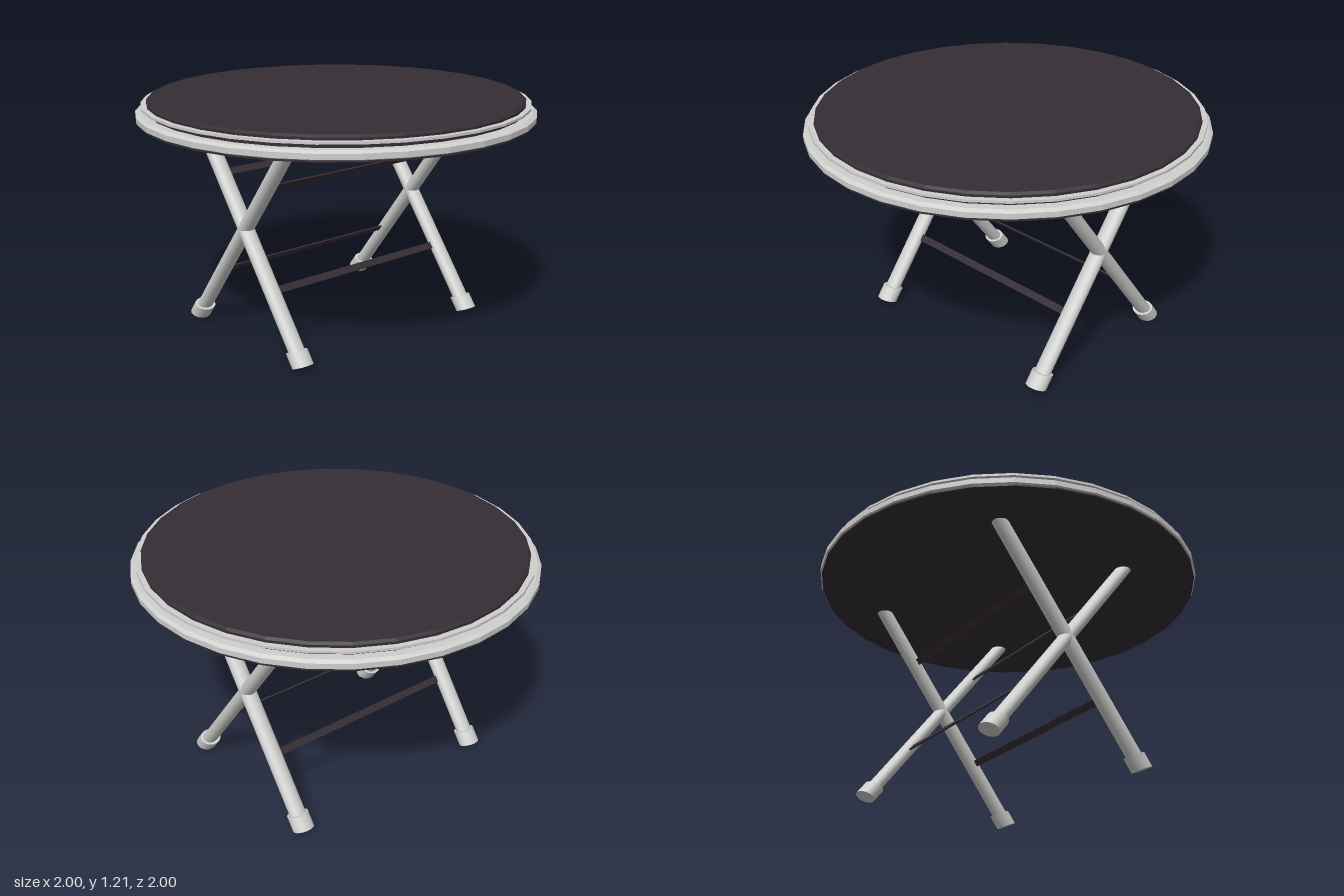
import * as THREE from 'three';

const silver = new THREE.MeshStandardMaterial({ color: 0xcfd0ce });
silver.name = 'silver metal';
const dark = new THREE.MeshStandardMaterial({ color: 0x352d35 });
dark.name = 'dark plum';

const SLOPE = 0.765;                 // sideways run of a leg per unit of height
const CROSS = { x: -0.042, y: 0.6 }; // where the legs cross
const LEG_Z = [0.542, -0.58];

const legX = (y, lean) => CROSS.x + lean * SLOPE * (y - CROSS.y);

function addMesh(group, name, geometry, material) {
  const mesh = new THREE.Mesh(geometry, material);
  mesh.name = name;
  group.add(mesh);
  return mesh;
}

// Faceted 32-sided disc from a profile of [radius, height] points
function disc(profile) {
  const points = profile.map(([r, y]) => new THREE.Vector2(r, y));
  const geometry = new THREE.LatheGeometry(points, 32).toNonIndexed();
  geometry.computeVertexNormals();
  return geometry;
}

// Leaning tube: rings of half-width rx, tilted by tilt, with depth rz
function leaningTube(y0, y1, lean, z, rx, tilt, rz) {
  const h = y1 - y0;
  const mid = (y0 + y1) / 2;
  const matrix = new THREE.Matrix4().makeBasis(
    new THREE.Vector3(rx, -lean * tilt, 0),
    new THREE.Vector3(lean * SLOPE * h, h, 0),
    new THREE.Vector3(0, 0, rz)
  );
  matrix.setPosition(legX(mid, lean), mid, z);
  return new THREE.CylinderGeometry(1, 1, 1, 24).applyMatrix4(matrix);
}

export function createModel() {
  const model = new THREE.Group();
  model.name = 'foldingTable';

  // Round top in layers
  const top = new THREE.Group();
  top.name = 'tableTop';
  model.add(top);
  addMesh(top, 'underside', disc([[0, 1.104], [0.992, 1.104], [0.992, 1.113], [0, 1.113]]), dark);
  addMesh(top, 'outerRim',
    disc([[0.9, 1.112], [0.99, 1.112], [1, 1.118], [1, 1.144], [0.982, 1.155], [0.9, 1.155]]), silver);
  addMesh(top, 'core', disc([[0.9, 1.154], [0.942, 1.154], [0.942, 1.178], [0.9, 1.178]]), dark);
  addMesh(top, 'upperRim', disc([[0.9, 1.176], [0.972, 1.176], [0.972, 1.188], [0.9, 1.188]]), silver);
  addMesh(top, 'surface',
    disc([[0.9, 1.187], [0.945, 1.187], [0.945, 1.2], [0.932, 1.21], [0, 1.21]]), dark);

  // Crossed legs with wider feet, front and back
  for (const z of LEG_Z) {
    for (const lean of [1, -1]) {
      addMesh(model, 'leg', leaningTube(0.04, 1.12, lean, z, 0.0425, 0, 0.0425), silver);
      addMesh(model, 'foot', leaningTube(0.022, 0.084, lean, z, 0.0455, 0.0187, 0.055), silver);
    }
  }

  // Flat bars joining the front and back legs
  const [front, back] = LEG_Z;
  for (const y of [0.33, 0.845]) {
    for (const lean of [1, -1]) {
      const bar = addMesh(model, 'crossBar', new THREE.BoxGeometry(0.036, 0.008, front - back), dark);
      bar.position.set(legX(y, lean), y, (front + back) / 2);
      bar.rotation.z = Math.atan2(1, lean * SLOPE);
    }
  }

  return model;
}
